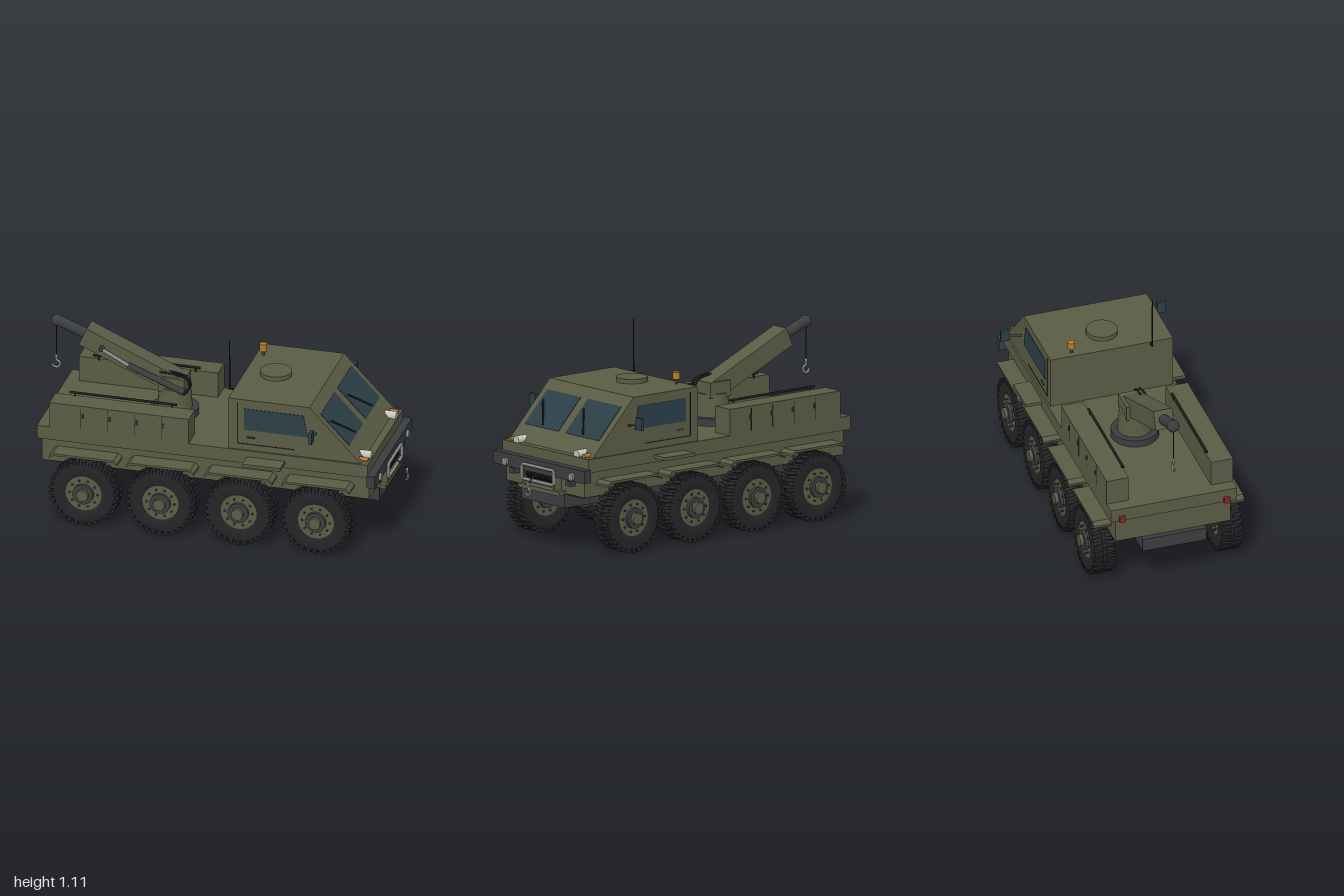
import * as THREE from 'three';
import { mergeGeometries } from 'three/addons/utils/BufferGeometryUtils.js';

const mat = (color, extra = {}) => new THREE.MeshStandardMaterial({ color, ...extra });
const olive = mat(0x5a5c45), dark = mat(0x3a3d3f), rubber = mat(0x232527), black = mat(0x1b1c1e);
const glass = mat(0x2b3f47, { side: THREE.DoubleSide }), steel = mat(0x85888a), lens = mat(0xc4c6be);
const amber = mat(0xb87a28), red = mat(0x8c2a20);
const V = (x, y, z) => new THREE.Vector3(x, y, z);
const sides = [1, -1];

export function createModel() {
  const model = new THREE.Group();
  const add = (name, geo, m, parent = model) => {
    const mesh = new THREE.Mesh(geo, m);
    mesh.name = name;
    parent.add(mesh);
    return mesh;
  };
  // Box given by its extents
  const box = (name, m, x0, x1, y0, y1, z0, z1) => {
    const b = add(name, new THREE.BoxGeometry(x1 - x0, y1 - y0, Math.abs(z1 - z0)), m);
    b.position.set((x0 + x1) / 2, (y0 + y1) / 2, (z0 + z1) / 2);
    return b;
  };
  // Cylinder between two points
  const rod = (name, m, a, b, r, r2 = r, seg = 16) => {
    const c = add(name, new THREE.CylinderGeometry(r2, r, a.distanceTo(b), seg), m);
    c.position.copy(a).lerp(b, 0.5);
    c.quaternion.setFromUnitVectors(V(0, 1, 0), b.clone().sub(a).normalize());
    return c;
  };
  const tube = (name, m, pts, r, closed = false) =>
    add(name, new THREE.TubeGeometry(new THREE.CatmullRomCurve3(pts, closed, 'catmullrom', closed ? 0.1 : 0.5), 40, r, 8, closed), m);
  // Side profile in x/y extruded across z
  const prism = (name, m, pts, z0, z1) => {
    const shape = new THREE.Shape(pts.map(p => new THREE.Vector2(...p)));
    const e = add(name, new THREE.ExtrudeGeometry(shape, { depth: z1 - z0, bevelEnabled: false }), m);
    e.position.z = z0;
    return e;
  };
  const hook = (name, top, s, turn) => {
    const g = new THREE.Group();
    g.name = name;
    const pts = [[0, 0], [0, -0.5], [0.45, -0.85], [0.4, -1.35], [0, -1.6], [-0.42, -1.4], [-0.5, -1.05]];
    const curve = new THREE.CatmullRomCurve3(pts.map(p => V(p[0] * s, p[1] * s, 0)));
    add('hookBend', new THREE.TubeGeometry(curve, 28, s * 0.16, 8), steel, g);
    add('hookEye', new THREE.SphereGeometry(s * 0.22, 12, 8), steel, g);
    g.position.copy(top);
    g.rotation.y = turn;
    model.add(g);
  };

  // Hull and chassis
  box('chassis', dark, -0.99, 0.877, 0.245, 0.32, -0.18, 0.18);
  box('lowerHull', olive, -0.96, 0.86, 0.32, 0.46, -0.325, 0.325);
  box('upperHull', olive, -0.98, 0.86, 0.46, 0.535, -0.357, 0.357);
  box('bellyPlate', black, -0.95, 0.85, 0.312, 0.32, -0.3, 0.3);
  box('winchShelf', olive, 0.8, 0.91, 0.312, 0.335, -0.17, 0.17);

  // Cab
  prism('cab', olive, [[0.083, 0.535], [0.82, 0.535], [0.535, 0.832], [0.083, 0.832]], -0.347, 0.347);
  const slope = y => 0.82 - (y - 0.535) * 0.285 / 0.297;
  const nose = (y, z, off) => V(slope(y) + off * 0.72, y, z).add(V(0, off * 0.69, 0));
  for (const s of sides) {
    // Windscreen panes with wipers
    const w = new THREE.BoxGeometry(0.23, 0.004, 0.278);
    const pane = add('windscreen', w, glass);
    pane.position.copy(nose(0.6975, s * 0.168, 0.001));
    pane.rotation.z = -Math.atan2(0.297, 0.285);
    const z = s > 0 ? 0.165 : -0.17;
    rod('wiper', black, nose(0.625, z, 0.008), nose(0.73, z + 0.115, 0.008), 0.005, 0.005, 8);
    // Side window, door seam and handle
    prism('sideWindow', glass, [[0.17, 0.655], [0.525, 0.655], [0.502, 0.78], [0.17, 0.78]], s * 0.347 - 0.003, s * 0.347 + 0.003);
    const zf = s * 0.347;
    box('doorSeam', black, 0.132, 0.137, 0.57, 0.81, zf - 0.002, zf + 0.002);
    box('doorSeam', black, 0.132, 0.455, 0.568, 0.573, zf - 0.002, zf + 0.002);
    box('doorHandle', dark, 0.185, 0.23, 0.608, 0.616, zf - 0.006, zf + 0.008);
    // Mirrors
    rod('mirrorArm', dark, V(0.57, 0.68, s * 0.33), V(0.57, 0.7, s * 0.425), 0.006);
    box('mirror', glass, 0.562, 0.58, 0.672, 0.738, s * 0.418, s * 0.466);
    // Step under the door
    box('cabStep', olive, 0.19, 0.4, 0.482, 0.5, s * 0.35, s * 0.452);
    // Lamps
    rod('headlight', lens, V(0.79, 0.547, s * 0.25), V(0.855, 0.547, s * 0.25), 0.023, 0.023, 24);
    rod('indicator', amber, V(0.79, 0.545, s * 0.305), V(0.85, 0.545, s * 0.305), 0.011);
    rod('fogLamp', steel, V(0.9, 0.435, s * 0.275), V(0.918, 0.435, s * 0.275), 0.021, 0.021, 24);
    box('tailLight', red, -0.998, -0.975, 0.46, 0.492, s * 0.28, s * 0.312);
    box('towLug', dark, 0.85, 0.9, 0.375, 0.405, s * 0.215, s * 0.25);
  }
  rod('roofHatch', olive, V(0.253, 0.83, 0), V(0.253, 0.857, 0), 0.086, 0.086, 32);
  rod('beaconStem', dark, V(0.122, 0.83, -0.215), V(0.122, 0.86, -0.215), 0.008);
  rod('beacon', amber, V(0.122, 0.858, -0.215), V(0.122, 0.898, -0.215), 0.02, 0.02, 20);
  box('antennaBracket', black, 0.05, 0.09, 0.822, 0.828, 0.215, 0.225);
  rod('antenna', black, V(0.055, 0.825, 0.22), V(0.055, 1.113, 0.22), 0.004, 0.003, 8);

  // Front bumper and winch
  box('frontBumper', dark, 0.86, 0.905, 0.41, 0.48, -0.377, 0.377);
  tube('winchFrame', steel, [V(0.915, 0.367, -0.132), V(0.915, 0.367, 0.132), V(0.915, 0.447, 0.132), V(0.915, 0.447, -0.132)]
    .flatMap((p, i, a) => [0.04, 0.5, 0.96].map(t => p.clone().lerp(a[(i + 1) % 4], t))), 0.009, true);
  rod('winchDrum', dark, V(0.885, 0.395, -0.115), V(0.885, 0.395, 0.115), 0.022);
  for (let i = 0; i < 20; i++) {
    const coil = add('winchCoil', new THREE.TorusGeometry(0.022, 0.004, 6, 16), black);
    coil.position.set(0.885, 0.395, -0.1 + i * 0.2 / 19);
  }
  for (const s of sides) box('winchBracket', olive, 0.86, 0.91, 0.33, 0.42, s * 0.12, s * 0.135);
  tube('winchCable', dark, [V(0.9, 0.41, 0), V(0.94, 0.4, 0), V(0.985, 0.36, 0)], 0.004);
  hook('winchHook', V(0.982, 0.362, 0), 0.038, Math.PI / 2);

  // Rear lockers with rails, seams and latches
  for (const s of sides) {
    box('locker', olive, -0.91, -0.135, 0.53, 0.68, s * 0.233, s * 0.357);
    rod('lockerRail', black, V(-0.83, 0.697, s * 0.236), V(-0.235, 0.697, s * 0.236), 0.007, 0.007, 8);
    for (const x of [-0.8, -0.26]) rod('railPost', black, V(x, 0.67, s * 0.236), V(x, 0.697, s * 0.236), 0.005, 0.005, 8);
    for (const x of [-0.735, -0.585, -0.435, -0.285]) {
      box('lockerSeam', black, x - 0.0015, x + 0.0015, 0.545, 0.668, s * 0.355, s * 0.3585);
      box('lockerLatch', dark, x + 0.006, x + 0.014, 0.61, 0.635, s * 0.355, s * 0.364);
    }
  }

  // Crane
  rod('turntable', dark, V(-0.31, 0.53, 0), V(-0.31, 0.575, 0), 0.13, 0.13, 36);
  rod('cranePedestal', olive, V(-0.31, 0.57, 0), V(-0.31, 0.7, 0), 0.095, 0.085, 28);
  box('craneHead', olive, -0.385, -0.24, 0.68, 0.765, -0.07, 0.07);
  const foot = V(-0.265, 0.705, 0), tip = V(-0.81, 0.943, 0);
  const boom = add('boom', new THREE.BoxGeometry(foot.distanceTo(tip), 0.107, 0.106), olive);
  boom.position.copy(foot).lerp(tip, 0.5);
  boom.rotation.z = Math.atan2(foot.y - tip.y, foot.x - tip.x);
  // Underside of the boom foot sits inside the head, so the arm emerges cleanly
  rod('boomExtension', dark, V(-0.78, 0.93, 0), V(-0.965, 1.0, 0), 0.029, 0.029, 24);
  add('boomTip', new THREE.SphereGeometry(0.034, 24, 16), dark).position.set(-0.965, 0.998, 0);
  rod('liftCylinder', dark, V(-0.24, 0.695, 0.073), V(-0.55, 0.815, 0.073), 0.017);
  rod('liftRod', steel, V(-0.54, 0.811, 0.073), V(-0.7, 0.893, 0.073), 0.01);
  rod('liftPin', dark, V(-0.7, 0.893, 0.045), V(-0.7, 0.893, 0.085), 0.013);
  for (const z of [0.03, 0.055])
    tube('hydraulicHose', black, [V(-0.38, 0.79, z), V(-0.29, 0.785, z), V(-0.23, 0.765, z), V(-0.215, 0.72, z), V(-0.245, 0.67, z)], 0.006);
  rod('craneCable', black, V(-0.97, 0.79, 0), V(-0.97, 0.99, 0), 0.003, 0.003, 8);
  hook('craneHook', V(-0.97, 0.785, 0), 0.042, 0);

  // Wheel parts, axis along z
  const ring = (pts, seg = 40) => new THREE.LatheGeometry(pts.map(p => new THREE.Vector2(...p)), seg).rotateX(Math.PI / 2);
  const tyreGeo = ring([[0.1, -0.05], [0.115, -0.058], [0.16, -0.06], [0.178, -0.05], [0.18, -0.006], [0.172, -0.004],
    [0.172, 0.004], [0.18, 0.006], [0.178, 0.05], [0.16, 0.06], [0.115, 0.058], [0.1, 0.05]]);
  const lugs = [];
  for (let i = 0; i < 30; i++) for (const s of sides) {
    const lug = new THREE.BoxGeometry(0.02, 0.026, 0.052);
    lug.rotateY(s * 0.15).translate(0, 0.177, s * 0.033);
    lugs.push(lug.rotateZ((i + (s > 0 ? 0 : 0.5)) * Math.PI / 15));
  }
  const lugGeo = mergeGeometries(lugs);
  const disc = (r, z0, z1, seg = 28) => new THREE.CylinderGeometry(r, r, z1 - z0, seg).rotateX(Math.PI / 2).translate(0, 0, (z0 + z1) / 2);
  const rimGeo = mergeGeometries([disc(0.102, -0.048, 0.05), disc(0.033, -0.093, 0.05)]);
  const bolts = [];
  for (let i = 0; i < 10; i++)
    bolts.push(disc(0.006, -0.056, 0.058, 6).translate(0.077, 0, 0).rotateZ(i * Math.PI / 5));
  const boltGeo = mergeGeometries(bolts);
  const hubRing = disc(0.057, -0.065, 0.068), hubCap = disc(0.032, 0.05, 0.087);

  for (const x of [-0.705, -0.277, 0.158, 0.588]) {
    // Axle and differential
    rod('axle', dark, V(x, 0.225, -0.3), V(x, 0.225, 0.3), 0.023);
    box('differential', dark, x - 0.06, x + 0.06, 0.198, 0.25, -0.063, 0.063);
    for (const s of sides) {
      rod('damper', steel, V(x + 0.05, 0.255, s * 0.24), V(x + 0.05, 0.33, s * 0.253), 0.012);
      const wheel = new THREE.Group();
      wheel.name = 'wheel';
      add('tyre', tyreGeo, rubber, wheel).material.side = THREE.DoubleSide;
      add('treadLugs', lugGeo, rubber, wheel);
      add('rim', rimGeo, olive, wheel);
      add('wheelBolts', boltGeo, dark, wheel);
      add('hubRing', hubRing, dark, wheel);
      add('hubCap', hubCap, olive, wheel);
      wheel.position.set(x, 0.19, s * 0.36);
      if (s < 0) wheel.rotation.y = Math.PI;
      model.add(wheel);
      // Mudguard with drooping ends
      const guard = [[-0.19, 0.382], [-0.165, 0.4], [0.165, 0.4], [0.19, 0.382], [0.19, 0.394], [0.168, 0.412], [-0.168, 0.412], [-0.19, 0.394]];
      prism('mudguard', olive, guard, Math.min(s * 0.32, s * 0.426), Math.max(s * 0.32, s * 0.426)).position.x = x;
    }
  }
  return model;
}
